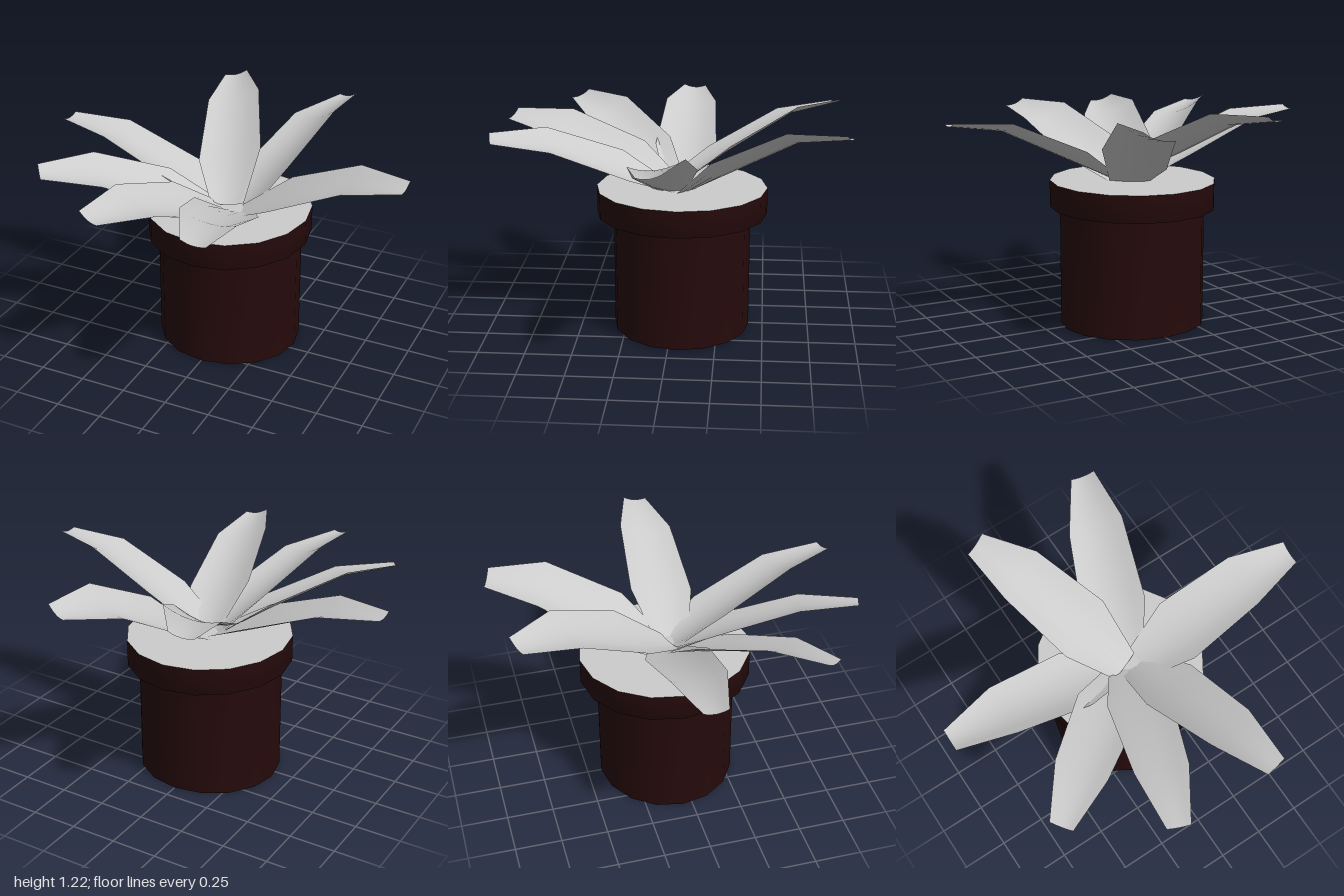
import * as THREE from 'three';

const SIDES = 16;

// Leaf sections: [fraction of length, half width, fraction of rise, trough depth]
const SECTIONS = [
  [0, 0.09, 0, 0.015],
  [0.27, 0.17, 0.45, 0.05],
  [0.69, 0.143, 0.94, 0.035],
  [1, 0.063, 1, 0.014],
];
const ACROSS = 6;

// Trough-shaped blade running from a base point to a tip point
function leafGeometry({ base, tip, height, roll, start = 0.79, width = 1 }) {
  const dir = new THREE.Vector2(tip[0] - base[0], tip[1] - base[1]);
  const side = new THREE.Vector2(dir.y, -dir.x).normalize();
  const positions = [];
  const index = [];
  SECTIONS.forEach(([t, half, rise, trough], row) => {
    for (let i = 0; i <= ACROSS; i++) {
      const u = (i / ACROSS) * 2 - 1;
      const offset = u * half * width;
      const edgeY = start + (height - start) * rise;
      positions.push(
        base[0] + dir.x * t + side.x * offset,
        edgeY + (t > 0 ? roll * offset : 0) - trough * (1 - u * u),
        base[1] + dir.y * t + side.y * offset,
      );
      if (row > 0 && i > 0) {
        const d = row * (ACROSS + 1) + i;
        const c = d - 1;
        const b = d - ACROSS - 1;
        const a = b - 1;
        index.push(a, c, b, b, c, d);
      }
    }
  });
  const geometry = new THREE.BufferGeometry();
  geometry.setAttribute('position', new THREE.Float32BufferAttribute(positions, 3));
  geometry.setIndex(index);
  geometry.computeVertexNormals();
  return geometry;
}

const LEAVES = [
  { base: [0, -0.01], tip: [-0.35, -0.88], height: 1.2, roll: -0.25, start: 0.82 },
  { base: [0.02, -0.03], tip: [0.34, -0.925], height: 1.17, roll: -0.33, start: 0.75 },
  { base: [0.06, 0.01], tip: [1, 0.04], height: 1.145, roll: 0.16 },
  { base: [0.055, -0.02], tip: [0.27, 0.935], height: 1.11, roll: -0.23 },
  { base: [0.02, -0.03], tip: [-0.3, 0.92], height: 1.105, roll: -0.28 },
  { base: [-0.01, 0], tip: [-0.775, 0.605], height: 1.115, roll: -0.28, width: 0.95 },
  { base: [-0.01, -0.05], tip: [-1, -0.065], height: 1.125, roll: 0.04 },
];

export function createModel() {
  const model = new THREE.Group();
  const clay = new THREE.MeshStandardMaterial({ color: 0x260a0b });
  const grey = new THREE.MeshStandardMaterial({ color: 0xcccccc });
  const leafGrey = new THREE.MeshStandardMaterial({ color: 0xcccccc, side: THREE.DoubleSide });

  const add = (parent, name, geometry, material) => {
    const mesh = new THREE.Mesh(geometry, material);
    mesh.name = name;
    parent.add(mesh);
  };

  // Pot: smooth wall with an overhanging rim, base and soil
  const pot = new THREE.Group();
  pot.name = 'pot';
  pot.position.z = -0.05;
  model.add(pot);
  const profile = [[0.396, 0], [0.396, 0.63], [0.443, 0.645], [0.443, 0.79]];
  const wall = new THREE.LatheGeometry(profile.map(([r, y]) => new THREE.Vector2(r, y)), SIDES);
  // The body is slightly narrow in depth, the rim slightly deep
  const p = wall.attributes.position;
  for (let i = 0; i < p.count; i++) p.setZ(i, p.getZ(i) * (p.getY(i) < 0.64 ? 0.94 : 1.045));
  add(pot, 'potWall', wall, clay);
  add(pot, 'potBase', new THREE.CircleGeometry(0.396, SIDES).rotateX(Math.PI / 2).scale(1, 1, 0.94), clay);
  const soil = new THREE.CircleGeometry(0.443, SIDES).rotateX(-Math.PI / 2).scale(1, 1, 1.045);
  add(pot, 'soil', soil.translate(0, 0.79, 0), grey);

  // Leaves fanning out from the middle of the pot
  const leaves = new THREE.Group();
  leaves.name = 'leaves';
  model.add(leaves);
  LEAVES.forEach((leaf, i) => add(leaves, `leaf${i + 1}`, leafGeometry(leaf), leafGrey));

  return model;
}
